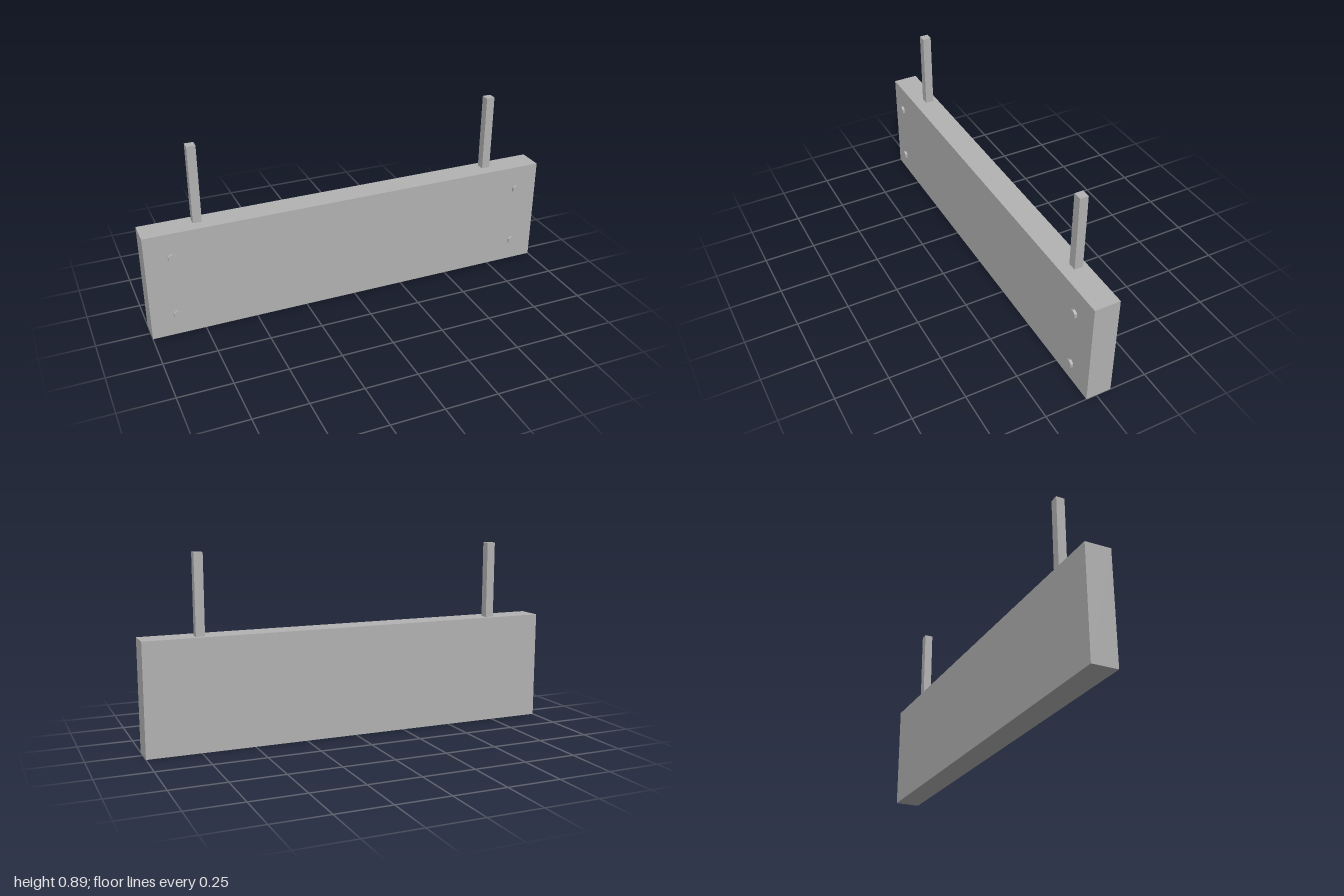
import * as THREE from 'three';

export function createModel() {
  const group = new THREE.Group();
  const grey = new THREE.MeshStandardMaterial({ color: 0xb3b3b3, flatShading: true });
  grey.name = 'plain grey';

  const add = (name, geometry, x, y, z) => {
    const mesh = new THREE.Mesh(geometry, grey);
    mesh.name = name;
    mesh.position.set(x, y, z);
    group.add(mesh);
  };

  // Sign board
  const boardHeight = 0.523;
  add('board', new THREE.BoxGeometry(2, boardHeight, 0.122), 0, boardHeight / 2, -0.011);

  // Square hanging posts and hexagonal bolt heads, mirrored left and right
  const postHeight = 0.37;
  const post = new THREE.BoxGeometry(0.041, postHeight, 0.041);
  const bolt = new THREE.CylinderGeometry(0.021, 0.021, 0.012, 6).rotateX(Math.PI / 2);
  for (const [side, s] of [['left', 1], ['right', -1]]) {
    add(side + 'Post', post, s * 0.737, boardHeight + postHeight / 2, -0.0275);
    add(side + 'LowerBolt', bolt, s * 0.878, 0.115, 0.066);
    add(side + 'UpperBolt', bolt, s * 0.878, 0.41, 0.066);
  }
  return group;
}
